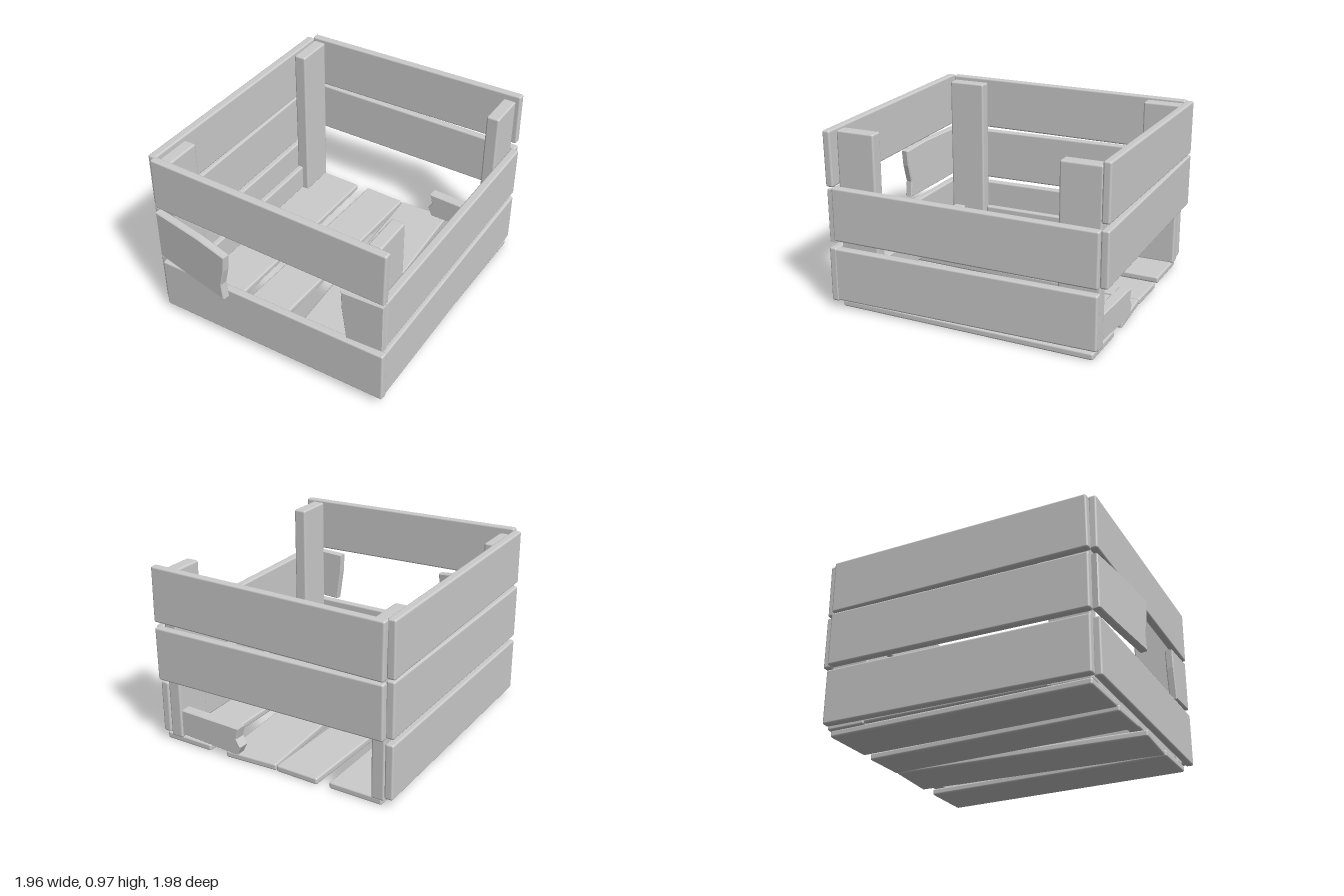
import * as THREE from 'three';
import { RoundedBoxGeometry } from 'three/addons/geometries/RoundedBoxGeometry.js';

const material = new THREE.MeshStandardMaterial({ color: 0xcccccc });

export function createModel() {
  const model = new THREE.Group();
  model.name = 'crate';
  const crate = new THREE.Group();
  crate.name = 'crateBody';
  crate.rotation.y = THREE.MathUtils.degToRad(45.8);
  model.add(crate);

  // Softly rounded plank given by its size and centre
  function board(name, size, pos, rot = [0, 0, 0]) {
    const mesh = new THREE.Mesh(new RoundedBoxGeometry(...size, 2, 0.01), material);
    mesh.name = name;
    mesh.position.set(...pos);
    mesh.rotation.set(...rot);
    crate.add(mesh);
  }

  // Snapped plank: outline of [length, height] points, running along +z
  function brokenBoard(name, outline, thickness, pos, swing = 0) {
    const shape = new THREE.Shape(outline.map(p => new THREE.Vector2(...p)));
    const geometry = new THREE.ExtrudeGeometry(shape, {
      depth: thickness - 0.01, bevelEnabled: true, bevelSize: 0.005,
      bevelThickness: 0.005, bevelOffset: -0.005, bevelSegments: 1,
    });
    const mesh = new THREE.Mesh(geometry, material);
    mesh.name = name;
    mesh.position.set(...pos);
    mesh.rotation.y = -Math.PI / 2 - swing;
    crate.add(mesh);
  }

  // Floor planks: [centre z, width, yaw]
  [[-0.495, 0.29, -0.02], [-0.175, 0.24, -0.035], [0.152, 0.295, 0.045], [0.495, 0.28, -0.02]]
    .forEach(([z, width, yaw]) => board('floorPlank', [1.39, 0.036, width], [0, 0.02, z], [0, yaw, 0]));

  // Corner posts, and low battens between them
  for (const [z, battenZ] of [[0.577, 0.594], [-0.607, -0.624]]) {
    for (const x of [-0.585, 0.6]) board('cornerPost', [0.21, 0.91, 0.07], [x, 0.488, z]);
    board('longBatten', [0.98, 0.15, 0.036], [0.01, 0.115, battenZ]);
  }
  board('endBatten', [0.07, 0.15, 1.12], [-0.637, 0.115, -0.01]);
  brokenBoard('brokenEndBatten',
    [[0, 0.05], [0.36, 0.04], [0.385, 0.09], [0.36, 0.13], [0.375, 0.19], [0, 0.19]]
      .map(([l, y]) => [-l, y]).reverse(), 0.06, [0.69, 0, 0.55], 0.05);

  // Long sides: the near one has lost its top slat
  const rows = [0.192, 0.51, 0.815];
  rows.forEach((y, i) => {
    board('longSlat', [1.41, 0.29, 0.045], [0, y, -0.665], [0, 0, i === 2 ? -0.008 : 0.004]);
    if (i < 2) board('longSlat', [1.42, 0.283, 0.045], [0, y, 0.635], [0, 0, i ? -0.005 : 0.003]);
  });

  // Short sides: one has lost its bottom slat, the other has a snapped middle slat
  board('endSlat', [0.042, 0.285, 1.29], [0.73, 0.51, -0.01], [0.004, 0, 0]);
  board('endSlat', [0.042, 0.292, 1.29], [0.73, 0.818, -0.01], [-0.012, 0, 0]);
  board('endSlat', [0.042, 0.292, 1.31], [-0.718, 0.187, 0.005], [-0.004, 0, 0]);
  board('endSlat', [0.042, 0.292, 1.31], [-0.718, 0.815, 0.005], [0.018, 0, 0]);
  brokenBoard('brokenSlatSwungOut',
    [[0, 0.37], [0.2, 0.35], [0.45, 0.33], [0.44, 0.42], [0.465, 0.52], [0.475, 0.61], [0.3, 0.635], [0, 0.65]],
    0.042, [-0.702, 0, -0.65], 0.148);
  brokenBoard('brokenSlatStub',
    [[0.03, 0.355], [0.23, 0.365], [0.23, 0.645], [0, 0.635], [0.005, 0.53]], 0.042, [-0.698, 0, 0.425]);

  return model;
}
